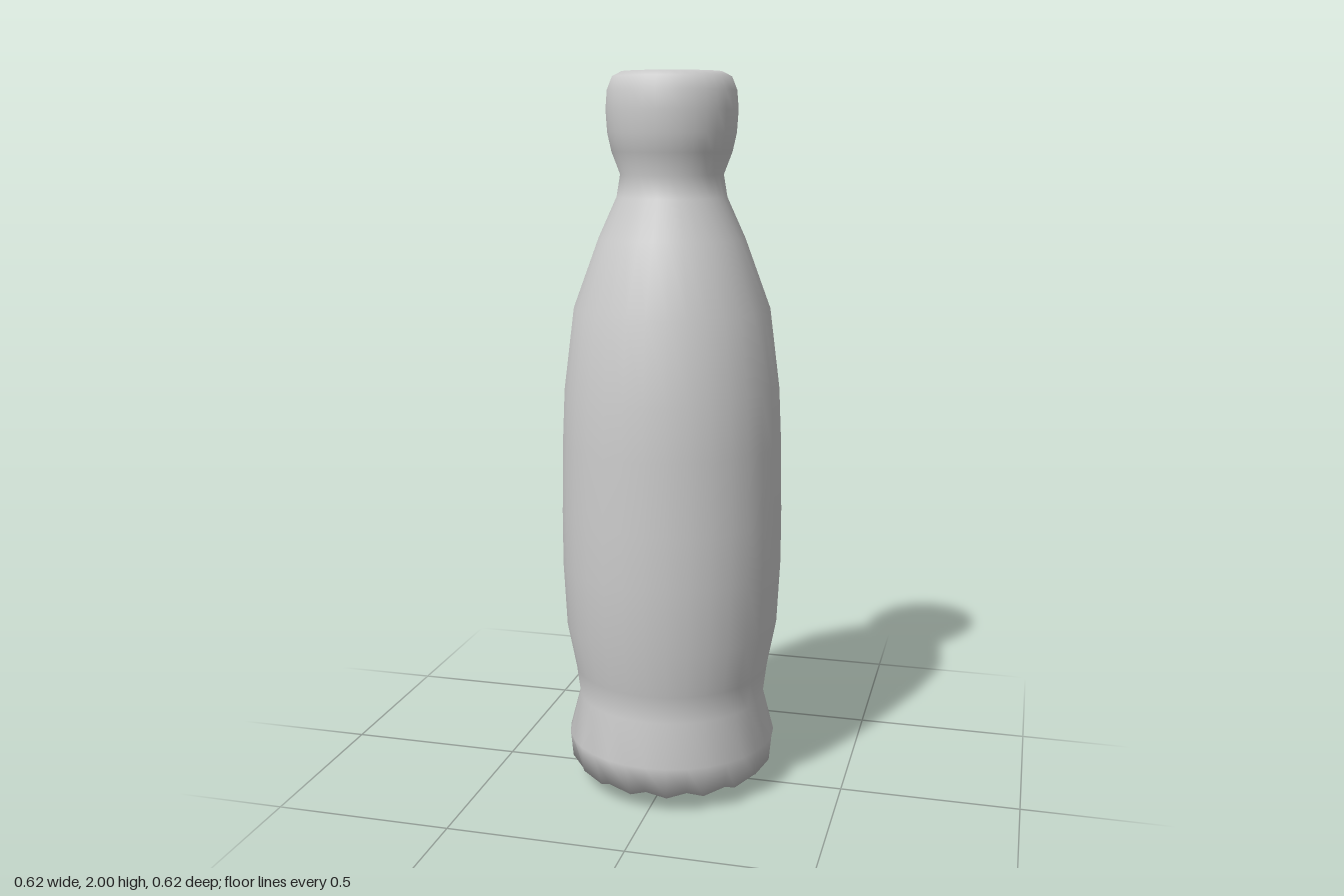
import * as THREE from 'three';
import { mergeVertices } from 'three/addons/utils/BufferGeometryUtils.js';

const SIDES = 32;

// Bottle outline as [radius, height], from the base centre up to the cap centre
const PROFILE = [
  [0, 0], [0.28, 0.055], [0.296, 0.14], [0.265, 0.26], [0.275, 0.34], [0.3, 0.47],
  [0.309, 0.65], [0.309, 0.8], [0.305, 1.0], [0.298, 1.15], [0.27, 1.37],
  [0.2, 1.56], [0.15, 1.67], [0.14, 1.73], [0.163, 1.79], [0.174, 1.84],
  [0.178, 1.9], [0.174, 1.95], [0.16, 1.985], [0.135, 1.998], [0, 2],
];

export function createModel() {
  const model = new THREE.Group();
  model.name = 'bottle';

  const points = PROFILE.map(([r, y]) => new THREE.Vector2(r, y));
  let geometry = new THREE.LatheGeometry(points, SIDES);

  // Scalloped foot: the rim ring alternates between high, wide and low, narrow corners
  const pos = geometry.attributes.position;
  for (let i = 0; i <= SIDES; i++) {
    const angle = (i / SIDES) * Math.PI * 2;
    const [r, y] = i % 2 ? [0.265, 0.04] : [0.289, 0.067];
    pos.setXYZ(i * PROFILE.length + 1, r * Math.sin(angle), y, r * Math.cos(angle));
  }

  // Weld the seam and poles so the shading is smooth all round
  geometry.deleteAttribute('uv');
  geometry.deleteAttribute('normal');
  geometry = mergeVertices(geometry, 1e-4);
  geometry.computeVertexNormals();

  const body = new THREE.Mesh(geometry, new THREE.MeshStandardMaterial({ color: 0xcccccc }));
  body.name = 'bottleBody';
  model.add(body);
  return model;
}
